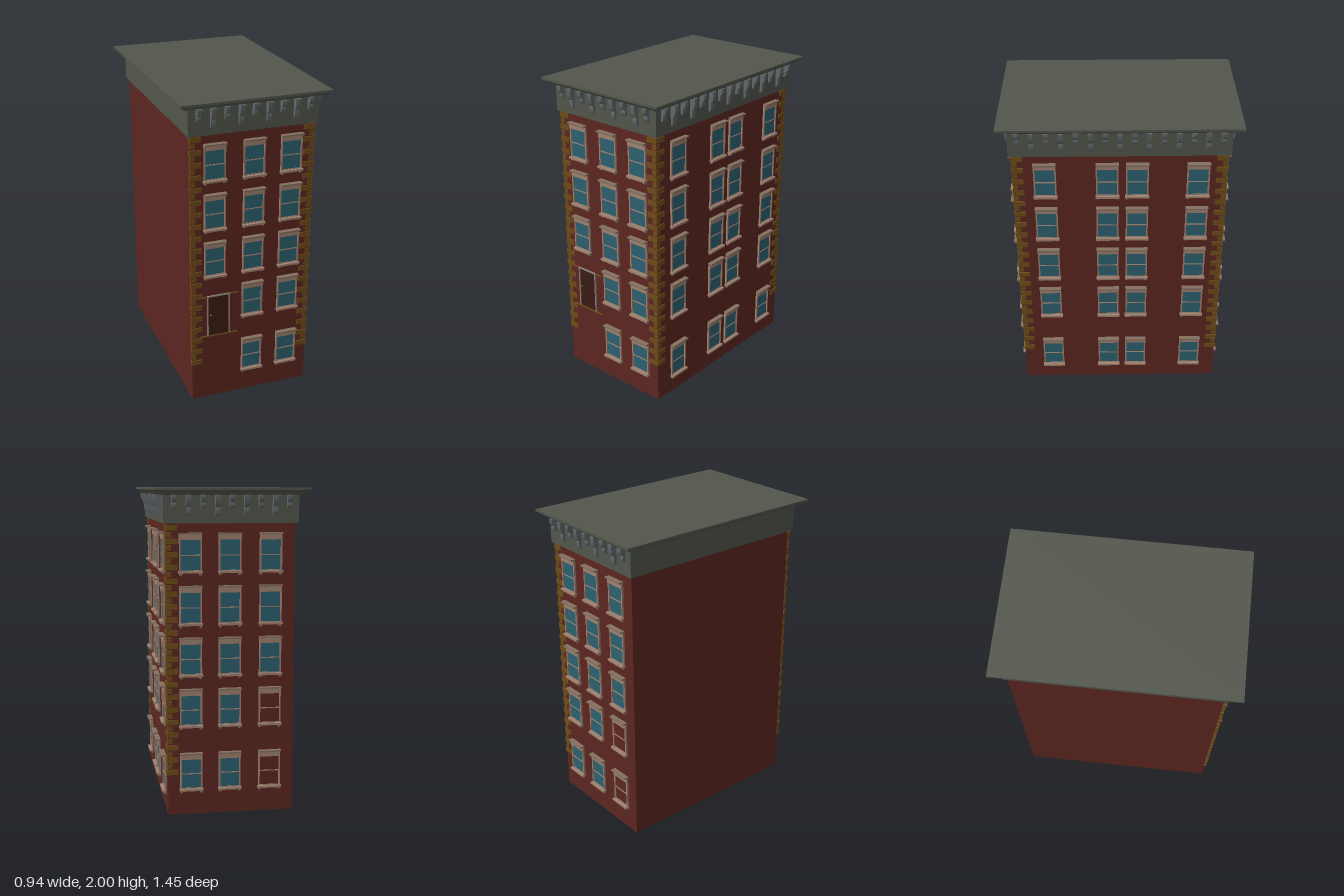
import * as THREE from 'three';

const mat = (color) => new THREE.MeshStandardMaterial({ color, flatShading: true });
const M = {
  brick: mat(0x5c2620), stone: mat(0xa08270), cap: mat(0x85705f), glass: mat(0x2c6170),
  trim: mat(0x52564c), bracket: mat(0x63676a), quoin: mat(0x6e4c18), door: mat(0x3c1a14), metal: mat(0x8c8478),
};
const HX = 0.39, HZ = 0.645, WALL = 1.79;

// Box given by its bounds [min, max] on each axis
function box(parent, name, m, [x0, x1], [y0, y1], [z0, z1]) {
  const mesh = new THREE.Mesh(new THREE.BoxGeometry(x1 - x0, y1 - y0, z1 - z0), m);
  mesh.position.set((x0 + x1) / 2, (y0 + y1) / 2, (z0 + z1) / 2);
  mesh.name = name;
  parent.add(mesh);
  return mesh;
}

// Sash window facing +z, wall plane at z = 0, sill underside at y = 0
function makeWindow(bricked) {
  const g = new THREE.Group();
  g.name = bricked ? 'brickedWindow' : 'window';
  box(g, 'pane', bricked ? M.brick : M.glass, [-0.062, 0.062], [0.012, 0.2], [-0.01, 0.005]);
  for (const s of [-1, 1]) {
    box(g, 'jamb', M.stone, [s * 0.064 - 0.0045, s * 0.064 + 0.0045], [0.012, 0.2], [-0.01, 0.012]);
    box(g, 'sillBlock', M.cap, [s * 0.06 - 0.007, s * 0.06 + 0.007], [-0.013, 0.001], [-0.01, 0.014]);
  }
  box(g, 'meetingRail', M.stone, [-0.062, 0.062], [0.104, 0.11], [-0.01, 0.009]);
  box(g, 'bottomRail', M.stone, [-0.062, 0.062], [0.012, 0.018], [-0.01, 0.009]);
  box(g, 'lintel', M.stone, [-0.0685, 0.0685], [0.198, 0.23], [-0.01, 0.015]);
  box(g, 'lintelCap', M.cap, [-0.07, 0.07], [0.23, 0.24], [-0.01, 0.032]);
  box(g, 'sill', M.stone, [-0.073, 0.073], [0, 0.013], [-0.01, 0.027]);
  return g;
}

// Rectangular loft: each section is [y, offset from wall]
function loftRect(sections) {
  const pos = [];
  const ring = ([y, o]) => [[-1, 1], [1, 1], [1, -1], [-1, -1]].map(([a, b]) => [a * (HX + o), y, b * (HZ + o)]);
  const quad = (a, b, c, d) => pos.push(...a, ...b, ...c, ...a, ...c, ...d);
  for (let i = 0; i < sections.length - 1; i++) {
    const lo = ring(sections[i]), hi = ring(sections[i + 1]);
    for (let k = 0; k < 4; k++) quad(lo[k], lo[(k + 1) % 4], hi[(k + 1) % 4], hi[k]);
  }
  quad(...ring(sections[sections.length - 1]));
  const geo = new THREE.BufferGeometry();
  geo.setAttribute('position', new THREE.Float32BufferAttribute(pos, 3));
  geo.computeVertexNormals();
  return geo;
}

// Scrolled bracket facing +z, hanging down from y = 0
function bracketGeometry(width, drop) {
  const s = new THREE.Shape();
  s.moveTo(-0.004, 0);
  s.lineTo(0.036, 0);
  s.lineTo(0.036, -0.014);
  s.quadraticCurveTo(0.034, -drop * 0.5, 0.016, -drop * 0.58);
  s.quadraticCurveTo(0.022, -drop * 0.85, 0.01, -drop);
  s.lineTo(-0.004, -drop);
  const geo = new THREE.ExtrudeGeometry(s, { depth: width, bevelEnabled: false, curveSegments: 5 });
  geo.translate(0, 0, -width / 2);
  geo.rotateY(-Math.PI / 2);
  return geo;
}

export function createModel() {
  const model = new THREE.Group();
  model.name = 'apartmentBuilding';
  box(model, 'walls', M.brick, [-HX, HX], [0, WALL + 0.01], [-HZ, HZ]);

  // One group per decorated face, local +z pointing outwards
  const face = (name, angle, dist) => {
    const g = new THREE.Group();
    g.name = name;
    g.rotation.y = angle;
    g.userData.dist = dist;
    model.add(g);
    return g;
  };
  const front = face('frontFace', 0, HZ);
  const side = face('leftFace', Math.PI / 2, HX);
  const back = face('backFace', Math.PI, HZ);

  // Windows
  const upper = [1.495, 1.18, 0.867, 0.552];
  const addWindow = (f, x, y, bricked) => {
    const w = makeWindow(bricked);
    w.position.set(x, y, f.userData.dist);
    f.add(w);
  };
  const cols = [-0.241, 0.008, 0.247];
  [...upper, 0.152].forEach((y, row) => {
    cols.forEach((x, c) => {
      if (!(c === 0 && row > 2)) addWindow(front, x, y, false);
      addWindow(back, -x, y, c === 0 && row > 2);
    });
  });
  for (const y of [...upper, 0.112])
    for (const z of [0.453, 0.077, -0.105, -0.473]) addWindow(side, -z, y, false);

  // Entrance door
  const door = new THREE.Group();
  door.name = 'door';
  door.position.set(-0.216, 0.455, HZ);
  front.add(door);
  box(door, 'doorPanel', M.door, [-0.068, 0.068], [0, 0.275], [-0.01, 0.004]);
  for (const s of [-1, 1])
    box(door, 'doorJamb', M.metal, [s * 0.071 - 0.004, s * 0.071 + 0.004], [0, 0.28], [-0.01, 0.01]);
  box(door, 'doorHead', M.metal, [-0.075, 0.075], [0.273, 0.281], [-0.01, 0.01]);
  for (const [n, y] of [['doorHood', 0.272], ['doorStep', -0.009]])
    box(door, n, M.quoin, [-0.127, 0.127], [y, y + 0.008], [-0.01, 0.008]);
  const knob = new THREE.Mesh(new THREE.SphereGeometry(0.005, 8, 6), M.metal);
  knob.name = 'doorKnob';
  knob.position.set(-0.052, 0.145, 0.008);
  door.add(knob);

  // Corner quoins, alternating long and short
  const quoins = new THREE.Group();
  quoins.name = 'quoins';
  model.add(quoins);
  const span = (s, half, out, inn) => (s > 0 ? [half - inn, half + out] : [-half - out, -half + inn]);
  for (const [sx, sz] of [[1, 1], [1, -1], [-1, 1]]) {
    for (let i = 0; i < 39; i++) {
      const long = i % 2 === 0, y = 0.255 + i * 0.0393;
      const len = long ? 0.065 : 0.028, out = long ? 0.007 : 0.003;
      box(quoins, 'quoin', M.quoin, span(sx, HX, out, len), [y, y + 0.032],
        span(sz, HZ, out, sx < 0 ? 0.012 : len));
    }
  }

  // Cornice with crown moulding and flat roof
  const cornice = new THREE.Mesh(loftRect([
    [WALL, -0.02], [WALL, 0.018], [1.957, 0.018], [1.957, 0.03], [1.963, 0.05],
    [1.972, 0.056], [1.982, 0.07], [1.986, 0.08], [2, 0.08],
  ]), M.trim);
  cornice.name = 'cornice';
  model.add(cornice);

  // Alternating cornice brackets with dentils between
  const small = bracketGeometry(0.027, 0.08), large = bracketGeometry(0.029, 0.125);
  for (const [f, count] of [[front, 9], [side, 15], [back, 9]]) {
    const z = f.userData.dist + 0.018;
    for (let i = 0; i < count; i++) {
      const x = (i - (count - 1) / 2) * 0.0868;
      const b = new THREE.Mesh(i % 2 ? large : small, M.bracket);
      b.name = i % 2 ? 'largeBracket' : 'smallBracket';
      b.position.set(x, 1.959, z);
      f.add(b);
      if (i < count - 1)
        box(f, 'dentil', M.trim, [x + 0.031, x + 0.056], [1.938, 1.96], [z - 0.005, z + 0.012]);
    }
  }
  return model;
}
